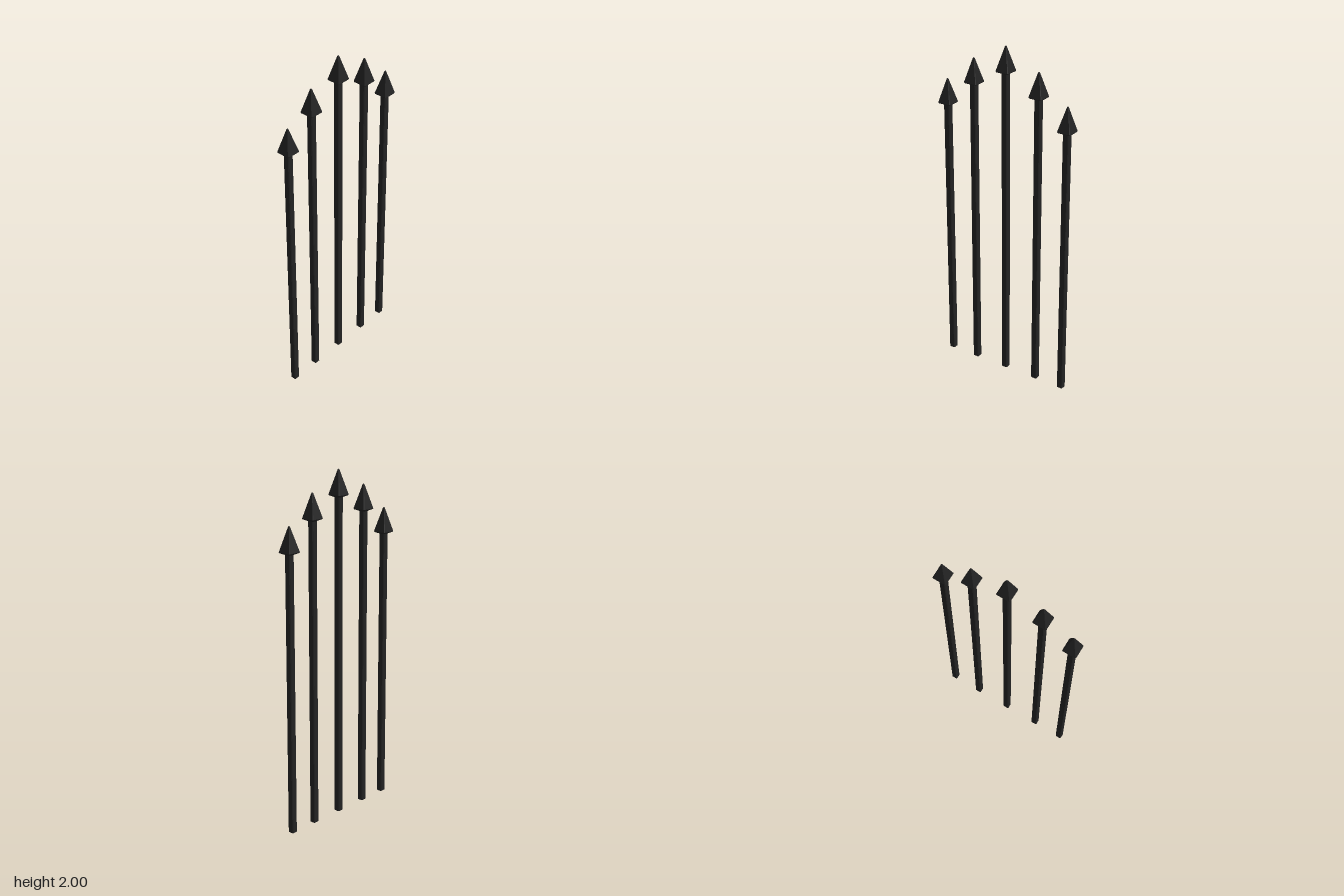
import * as THREE from 'three';

// Solid from stacked square sections [y, halfWidth, chamfer], listed bottom to top
function squareLoft(sections) {
  const rings = sections.map(([y, h, c]) => [
    [h, h - c], [h - c, h], [c - h, h], [-h, h - c],
    [-h, c - h], [c - h, -h], [h - c, -h], [h, c - h],
  ].map(([x, z]) => [x, y, z]));
  const pos = [];
  const tri = (a, b, c) => pos.push(...a, ...b, ...c);
  for (let i = 0; i < rings.length - 1; i++) {
    for (let j = 0; j < 8; j++) {
      const k = (j + 1) % 8;
      const a = rings[i][j], b = rings[i][k], c = rings[i + 1][k], d = rings[i + 1][j];
      tri(a, c, b);
      tri(a, d, c);
    }
  }
  // end caps
  const low = rings[0], high = rings[rings.length - 1];
  for (let j = 1; j < 7; j++) {
    tri(low[0], low[j], low[j + 1]);
    tri(high[0], high[j + 1], high[j]);
  }
  const geo = new THREE.BufferGeometry();
  geo.setAttribute('position', new THREE.Float32BufferAttribute(pos, 3));
  geo.computeVertexNormals();
  return geo;
}

export function createModel() {
  const group = new THREE.Group();
  const iron = new THREE.MeshStandardMaterial({ color: 0x222222, flatShading: true });
  const headHeight = 0.14, shaftHalf = 0.018;

  // Spear head: short underside taper, wide base edge, long pyramid to a small tip
  const headGeo = squareLoft([
    [-0.012, shaftHalf, 0.004],
    [-0.002, 0.039, 0.004],
    [0.002, 0.041, 0.004],
    [headHeight - 0.003, 0.004, 0.001],
    [headHeight, 0.002, 0.0005],
  ]);

  // Five bars, tallest in the middle
  const bars = [[-0.389, 1.743], [-0.209, 1.897], [0, 2], [0.209, 1.897], [0.389, 1.743]];
  for (const [x, top] of bars) {
    const bar = new THREE.Group();
    bar.name = 'spearBar';
    bar.position.x = x;

    const shaft = new THREE.Mesh(squareLoft([
      [0, shaftHalf - 0.003, 0.003],
      [0.003, shaftHalf, 0.004],
      [top - headHeight, shaftHalf, 0.004],
    ]), iron);
    shaft.name = 'shaft';

    const head = new THREE.Mesh(headGeo, iron);
    head.name = 'spearHead';
    head.position.y = top - headHeight;

    bar.add(shaft, head);
    group.add(bar);
  }
  return group;
}
